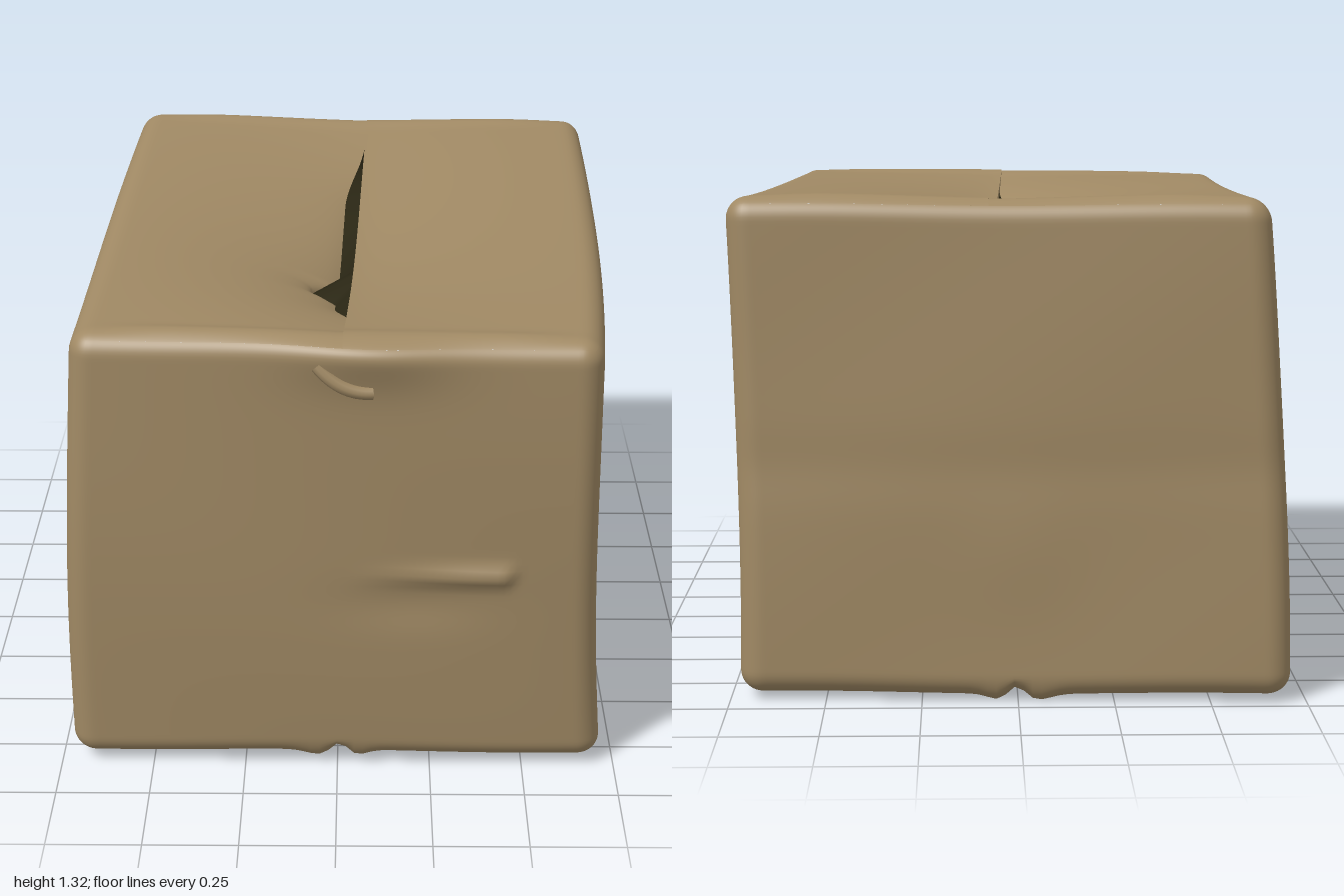
import * as THREE from 'three';
import { mergeVertices } from 'three/addons/utils/BufferGeometryUtils.js';

const cardboard = new THREE.MeshStandardMaterial({ name: 'cardboard', color: 0xa08964 });
const shadow = new THREE.MeshStandardMaterial({ name: 'dark interior', color: 0x2a2614, side: THREE.DoubleSide });

const HALF = [0.7, 0.64, 0.93]; // nominal half size, for the edge rounding
const RADIUS = 0.06;
const SEG = 84;
const SEAM = 0.03; // where the lid flaps meet, in -1..1 across the box

// Eight leaning corners: [-x/+x][bottom/top][back/front]
const CORNERS = [
  [[[-0.705, 0.02, -0.99], [-0.715, 0.03, 0.855]], [[-0.635, 1.315, -0.99], [-0.68, 1.27, 0.89]]],
  [[[0.725, 0.02, -0.94], [0.71, 0.03, 0.86]], [[0.75, 1.315, -0.92], [0.665, 1.28, 0.98]]],
];
const bell = (x, s) => Math.exp(-(x * x) / (s * s));
const step = (a, b, x) => THREE.MathUtils.smoothstep(x, a, b);
const spread = (c) => Math.sign(c) * (1 - Math.pow(1 - Math.min(1, Math.abs(c)), 1.4)); // finer near edges

// Maps a point on the cube -1..1 to the worn, leaning, rounded box
function warp(u, v, w) {
  const p = [u, v, w].map((c, i) => c * HALF[i]);
  const inner = p.map((c, i) => THREE.MathUtils.clamp(c, RADIUS - HALF[i], HALF[i] - RADIUS));
  const d = new THREE.Vector3(...p.map((c, i) => c - inner[i]));
  if (d.lengthSq() > 0) d.setLength(RADIUS);
  const q = d.toArray().map((c, i) => (inner[i] + c) / HALF[i]);
  const out = new THREE.Vector3();
  for (let i = 0; i < 2; i++) for (let j = 0; j < 2; j++) for (let k = 0; k < 2; k++) {
    const f = (1 + (i ? q[0] : -q[0])) * (1 + (j ? q[1] : -q[1])) * (1 + (k ? q[2] : -q[2])) / 8;
    out.addScaledVector(new THREE.Vector3(...CORNERS[i][j][k]), f);
  }
  const { x, y, z } = out;
  const front = step(0.9, 1, q[2]), back = step(0.9, 1, -q[2]), base = step(0.9, 1, -q[1]);
  // sides: the -x one swells towards the bottom, the +x one along its length
  const along = 1 - q[2] * q[2], upright = 1 - q[1] * q[1];
  out.x += 0.002 * Math.sin(5 * y + 3 * z) + (q[0] < 0
    ? q[0] * (0.032 * along * Math.sqrt(Math.max(0, (1 - q[1]) / 2)) + 0.012 * upright)
    : q[0] * (0.022 * along - 0.012 * upright));
  out.y += 0.003 * Math.sin(6 * x + 2 * z) - 0.012 * step(0.8, 1, q[1]) * along;
  out.z += 0.003 * Math.sin(6 * y + 4 * x);
  // front face: pinched ridge with a shallow dent under it, and a bulge at the taped top edge
  const ridge = step(0, 0.4, x) * (1 - step(0.44, 0.49, x));
  out.z += front * (0.01 * upright + 0.022 * ridge * bell(y - 0.61 - 0.03 * (x - 0.3), 0.026)
    - 0.01 * bell(x - 0.2, 0.18) * bell(y - 0.52, 0.07)
    + 0.035 * bell(x - 0.07, 0.2) * bell(y - 1.26, 0.1));
  // back face: faint fold and dent
  out.z += back * (0.004 * bell(y - 0.62, 0.08) - 0.006 * bell(x, 0.15) * bell(y - 0.4, 0.15));
  // underside: closed seam, its lips curling down at both ends
  const ends = step(0.8, 1, Math.abs(q[2]));
  out.y += base * ((0.012 + 0.02 * ends) * bell(x - 0.005, 0.03)
    - (0.003 + 0.015 * ends) * (bell(x + 0.05, 0.05) + bell(x - 0.05, 0.04)));
  return out;
}

// Grid surface from a rule over a, b in 0..1
function patch(rule, na, nb) {
  const pos = [], index = [];
  for (let i = 0; i <= na; i++) for (let j = 0; j <= nb; j++) {
    pos.push(...rule(i / na, j / nb).toArray());
    if (i < na && j < nb) {
      const a = i * (nb + 1) + j, b = a + nb + 1;
      index.push(a, a + 1, b, b, a + 1, b + 1);
    }
  }
  const g = new THREE.BufferGeometry();
  g.setAttribute('position', new THREE.Float32BufferAttribute(pos, 3));
  g.setIndex(index);
  g.computeVertexNormals();
  return g;
}

// Four sides and the underside
function shellGeometry() {
  let g = new THREE.BoxGeometry(2, 2, 2, SEG, SEG, SEG);
  const lid = g.groups[2];
  const index = Array.from(g.index.array);
  index.splice(lid.start, lid.count);
  g.setIndex(index);
  g.clearGroups();
  g.deleteAttribute('uv');
  g.deleteAttribute('normal');
  const p = g.attributes.position;
  for (let i = 0; i < p.count; i++) {
    const v = warp(spread(p.getX(i)), spread(p.getY(i)), spread(p.getZ(i)));
    p.setXYZ(i, v.x, v.y, v.z);
  }
  g = mergeVertices(g, 1e-5);
  g.computeVertexNormals();
  return g;
}

// Lid flaps: both sag along the seam, the -x one deeper and with a torn edge
function flapPoint(side, t, b) {
  const w = spread(b * 2 - 1);
  const across = t < 0.5 ? Math.pow(t * 2, 1.6) / 2 : t;
  const p = warp(side + (SEAM - side) * across, 1, w);
  const inside = Math.max(0, 1 - w * w);
  const z = p.z;
  p.y -= 0.075 * across * across * Math.pow(inside, 1.2);
  // raised wrinkle along each end of the lid
  p.y += 0.008 * bell(Math.abs(w) - 0.93, 0.03) * step(0, 0.4, across);
  if (side < 0) {
    p.y -= across * across * inside * (0.02 + 0.065 * bell(z - 0.22, 0.42));
    const gap = 0.045 * step(-0.76, -0.35, z) * (1 - step(0.4, 0.65, z))
      + 0.075 * step(0.17, 0.2, z) * (1 - step(0.27, 0.34, z));
    p.x -= gap * Math.pow(across, 8);
  } else {
    p.y += 0.01 * Math.pow(across, 16) * inside;
  }
  return p;
}

export function createModel() {
  const model = new THREE.Group();
  model.name = 'cardboardBox';
  const add = (name, geometry, material = cardboard) => {
    const m = new THREE.Mesh(geometry, material);
    m.name = name;
    model.add(m);
    return m;
  };

  add('boxSides', shellGeometry());
  add('lowFlap', patch((a, b) => flapPoint(-1, a, b), 40, SEG));
  add('highFlap', patch((a, b) => flapPoint(1, 1 - a, b), 40, SEG));

  // Cut edge of the upper flap, and the dark opening under it
  const lipBottom = (b) => {
    const p = flapPoint(1, 1, b);
    p.y -= 0.03 * step(0.02, 0.2, b) * (1 - step(0.8, 0.98, b));
    return p;
  };
  add('flapEdge', patch((a, b) => lipBottom(b).lerp(flapPoint(1, 1, b), a), 1, SEG));
  add('lidGap', patch((a, b) => flapPoint(-1, 1, b).lerp(lipBottom(b), a), 1, SEG), shadow);

  // Loose curl of tape near the top of the front
  const curlPath = new THREE.QuadraticBezierCurve3(
    new THREE.Vector3(-0.05, 1.21, 0.94), new THREE.Vector3(0.01, 1.14, 0.96), new THREE.Vector3(0.09, 1.14, 0.945));
  add('tapeCurl', new THREE.TubeGeometry(curlPath, 16, 0.017, 10));

  // Small punctures low on the -x side
  for (const [v, w, size] of [[-0.47, -0.62, 0.035], [-0.45, -0.44, 0.01]]) {
    const hole = add('puncture', new THREE.CircleGeometry(1, 10), shadow);
    hole.scale.set(size, size * 0.55, 1);
    hole.rotation.y = -Math.PI / 2;
    hole.position.copy(warp(-1, v, w)).x -= 0.004;
  }

  return model;
}
